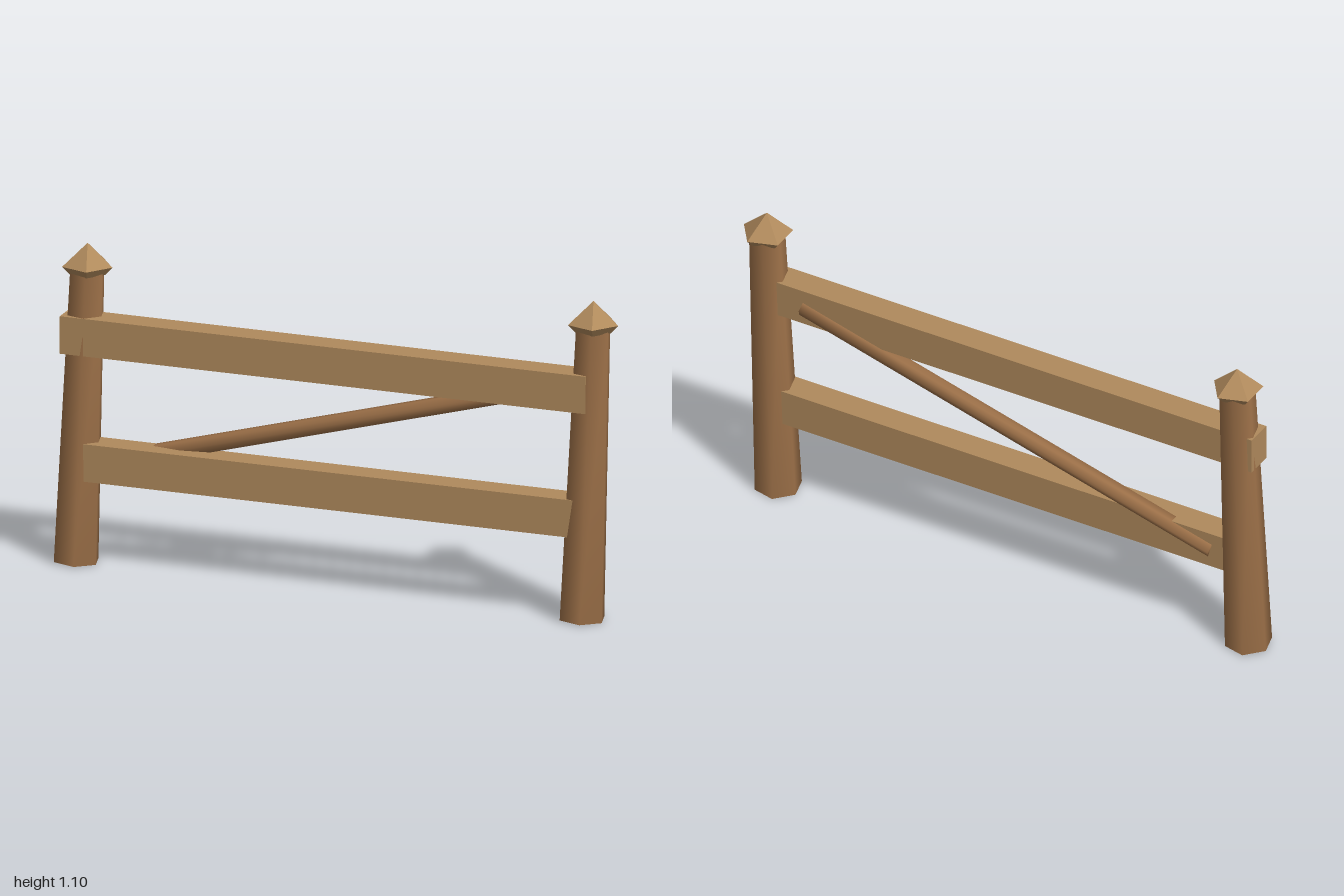
import * as THREE from 'three';
import { mergeVertices } from 'three/addons/utils/BufferGeometryUtils.js';

const postWood = new THREE.MeshStandardMaterial({ color: 0x9c7048 });
const railWood = new THREE.MeshStandardMaterial({ color: 0xb08a5c, flatShading: true });

// Six-sided pole between two points, shaded smoothly over the whole surface
function pole(name, from, to, rBottom, rTop, thetaStart) {
  const a = new THREE.Vector3(...from);
  const b = new THREE.Vector3(...to);
  const axis = b.clone().sub(a);
  let geo = new THREE.CylinderGeometry(rTop, rBottom, axis.length(), 6, 1, false, thetaStart);
  geo.deleteAttribute('normal');
  geo.deleteAttribute('uv');
  geo = mergeVertices(geo, 1e-4);
  geo.computeVertexNormals();
  const mesh = new THREE.Mesh(geo, postWood);
  mesh.name = name;
  mesh.position.copy(a).add(b).multiplyScalar(0.5);
  mesh.quaternion.setFromUnitVectors(new THREE.Vector3(0, 1, 0), axis.normalize());
  return mesh;
}

// Leaning post with a five-sided pointed cap
function post(name, x) {
  const group = new THREE.Group();
  group.name = name;
  group.add(pole('postShaft', [x - 0.017, 0.003, 0.01], [x + 0.017, 1.02, -0.005], 0.081, 0.062, Math.PI / 12));
  const profile = [[0, 1.0], [0.062, 1.0], [0.088, 1.028], [0, 1.105]].map(p => new THREE.Vector2(...p));
  const cap = new THREE.Mesh(new THREE.LatheGeometry(profile, 5, Math.PI / 2), railWood);
  cap.name = 'postCap';
  cap.position.set(x + 0.019, 0, -0.003);
  group.add(cap);
  return group;
}

// Flat board given by its ends and its lower and upper edges
function rail(name, x0, x1, y0, y1) {
  const mesh = new THREE.Mesh(new THREE.BoxGeometry(x1 - x0, y1 - y0, 0.097), railWood);
  mesh.name = name;
  mesh.position.set((x0 + x1) / 2, (y0 + y1) / 2, 0.0135);
  return mesh;
}

export function createModel() {
  const fence = new THREE.Group();
  fence.name = 'fence';
  fence.add(
    post('rightPost', -0.905),
    post('leftPost', 0.895),
    rail('topRail', -0.96, 0.91, 0.73, 0.86),
    rail('bottomRail', -0.91, 0.89, 0.295, 0.425),
    // Diagonal brace half sunk into the back of the rails
    pole('brace', [-0.8, 0.357, -0.02], [0.765, 0.787, -0.02], 0.031, 0.031, 0)
  );
  return fence;
}
